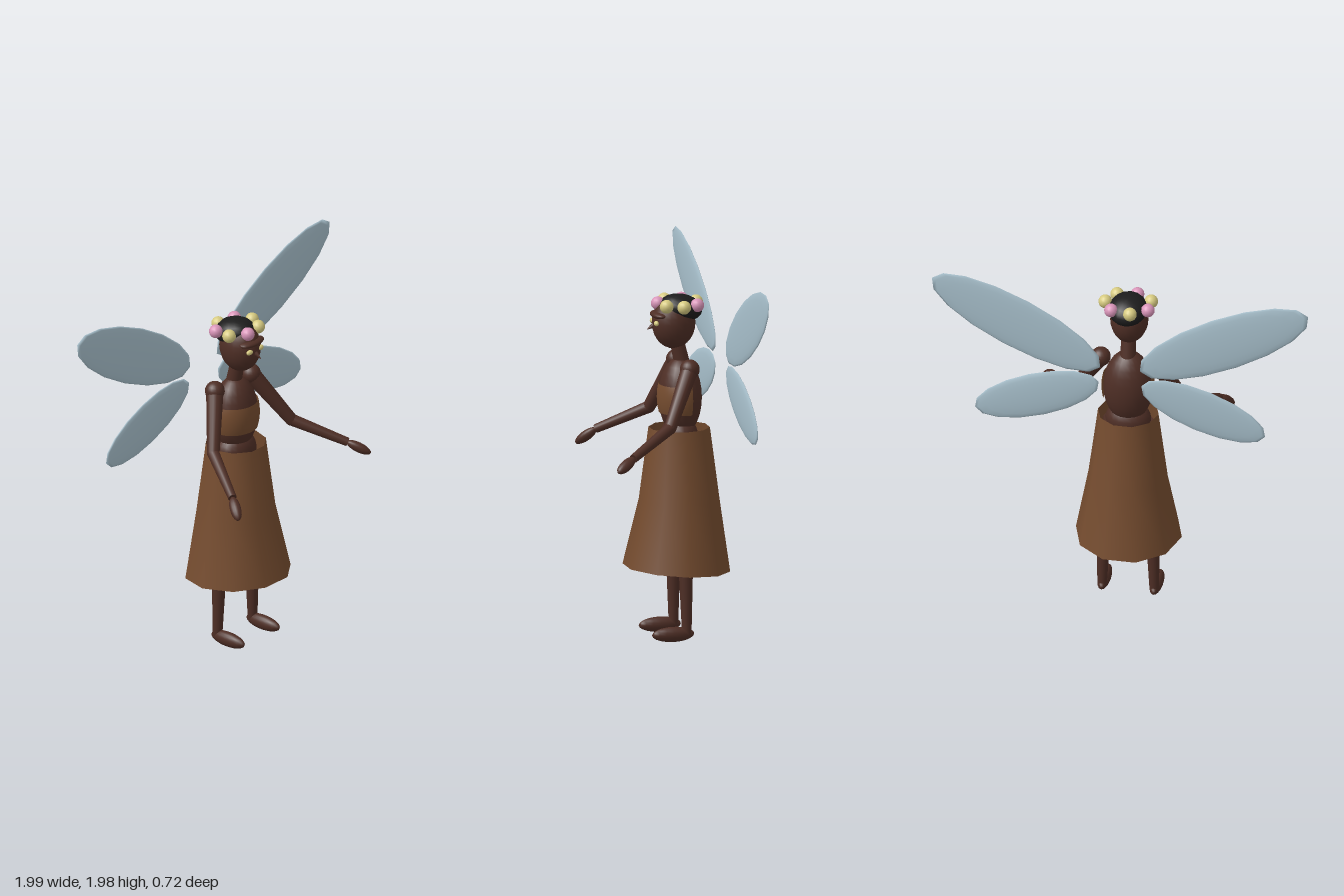
import * as THREE from 'three';

const material = (name, color, side = THREE.FrontSide) => {
  const m = new THREE.MeshStandardMaterial({ color, side });
  m.name = name;
  return m;
};

export function createModel() {
  const group = new THREE.Group();
  const skin = material('dark brown skin', 0x4e2e25);
  const cloth = material('brown cloth', 0x754c2f, THREE.DoubleSide);
  const black = material('black hair', 0x1c1c1c);
  const wing = material('pale blue wing', 0xa8c0cc);
  const yellow = material('soft yellow', 0xd6ca80);
  const pink = material('soft pink', 0xd894b8);
  const up = new THREE.Vector3(0, 1, 0);

  const add = (name, geometry, mat, parent = group) => {
    const mesh = new THREE.Mesh(geometry, mat);
    mesh.name = name;
    parent.add(mesh);
    return mesh;
  };
  const ellipsoid = (name, mat, pos, radii, w = 20, h = 14) => {
    const mesh = add(name, new THREE.SphereGeometry(1, w, h), mat);
    mesh.position.set(...pos);
    mesh.scale.set(...radii);
    return mesh;
  };
  // Tapered limb or stretched shape running from point a to point b
  const align = (mesh, a, b) => {
    const p = new THREE.Vector3(...a), q = new THREE.Vector3(...b);
    mesh.position.copy(p).add(q).multiplyScalar(0.5);
    mesh.quaternion.setFromUnitVectors(up, q.sub(p).normalize());
    return mesh;
  };
  const limb = (name, a, b, ra, rb) => {
    const length = new THREE.Vector3(...a).distanceTo(new THREE.Vector3(...b));
    return align(add(name, new THREE.CylinderGeometry(rb, ra, length, 16), skin), a, b);
  };

  // Skirt: open ten-sided flare, hem pushed forward and tilted
  const skirtGeo = new THREE.LatheGeometry(
    [[0.28, 0.365], [0.21, 0.73], [0.16, 1.11]].map(p => new THREE.Vector2(...p)), 10);
  skirtGeo.rotateY(Math.PI / 2);
  const sp = skirtGeo.attributes.position;
  for (let i = 0; i < sp.count; i++) {
    const hem = Math.max(0, (0.73 - sp.getY(i)) / 0.365);
    sp.setY(i, sp.getY(i) + hem * sp.getZ(i) * 0.07);
    sp.setZ(i, sp.getZ(i) - 0.105 + hem * 0.015);
  }
  add('skirt', skirtGeo, cloth);

  // Torso, hips and bodice wrapped around the front
  ellipsoid('torso', skin, [0, 1.27, -0.11], [0.13, 0.21, 0.112]);
  ellipsoid('hips', skin, [0, 1.07, -0.105], [0.12, 0.1, 0.095]);
  const sweep = 3.75;
  const bodice = add('bodice', new THREE.SphereGeometry(
    1, 24, 8, Math.PI / 2 - sweep / 2, sweep, 1.21, 0.77), cloth);
  bodice.position.set(0, 1.27, -0.11);
  bodice.scale.set(0.14, 0.2, 0.12);

  // Neck and head
  limb('neck', [0, 1.42, -0.125], [0, 1.58, -0.09], 0.043, 0.037);
  ellipsoid('head', skin, [0, 1.665, -0.075], [0.1, 0.137, 0.115]);
  const hair = ellipsoid('hair', black, [0, 1.742, -0.115], [0.102, 0.07, 0.113], 16, 12);
  hair.rotation.x = -0.2;
  ellipsoid('brow', skin, [0, 1.71, 0.005], [0.085, 0.02, 0.042]);
  const a = [0, 1.664, 0.015], b = [0, 1.632, 0.07];
  align(add('nose', new THREE.ConeGeometry(0.022, 0.064, 10), skin), a, b);

  // Flower crown: alternating balls in a ring
  for (let i = 0; i < 7; i++) {
    const t = i * Math.PI * 2 / 7;
    ellipsoid('crownFlower', i % 2 ? pink : yellow,
      [0.123 * Math.cos(t), 1.764, -0.1 - 0.105 * Math.sin(t)], [0.036, 0.036, 0.036], 14, 10);
  }

  for (const s of [1, -1]) {
    const side = s > 0 ? 'left' : 'right';
    ellipsoid(side + 'Eye', yellow, [s * 0.042, 1.671, 0.028], [0.022, 0.014, 0.013], 12, 8);

    // Arms reaching forward, the right one a little lower
    const shoulder = [s * 0.142, 1.44, -0.125];
    const elbow = s > 0 ? [0.295, 1.165, 0.02] : [-0.28, 1.165, -0.015];
    const wrist = s > 0 ? [0.465, 1.05, 0.26] : [-0.415, 1.035, 0.235];
    const tip = s > 0 ? [0.53, 0.995, 0.355] : [-0.47, 0.955, 0.325];
    ellipsoid(side + 'Shoulder', skin, shoulder, [0.052, 0.052, 0.052]);
    limb(side + 'UpperArm', shoulder, elbow, 0.046, 0.033);
    ellipsoid(side + 'Elbow', skin, elbow, [0.033, 0.033, 0.033], 14, 10);
    limb(side + 'Forearm', elbow, wrist, 0.032, 0.023);
    const hand = ellipsoid(side + 'Hand', skin, [0, 0, 0], [0.03, 0.07, 0.026], 14, 10);
    align(hand, wrist, tip);

    // Legs and long rounded feet
    const hip = [s * 0.075, 1.06, -0.105], knee = [s * 0.125, 0.58, -0.105];
    limb(side + 'Thigh', knee, hip, 0.045, 0.058);
    ellipsoid(side + 'Knee', skin, knee, [0.045, 0.045, 0.045], 14, 10);
    limb(side + 'Shin', [s * 0.138, 0.04, -0.11], knee, 0.025, 0.045);
    ellipsoid(side + 'Foot', skin, [s * 0.138, 0.04, -0.037], [0.033, 0.04, 0.113], 16, 10);

    // Flat oval wings: centre, half length, half width, tilt
    const wings = [
      ['UpperWing', 0.55, 1.722, 0.497, 0.15, 0.459],
      ['LowerWing', 0.44, 1.297, 0.347, 0.125, -0.34],
    ];
    for (const [name, x, y, length, width, tilt] of wings) {
      const geo = new THREE.SphereGeometry(1, 16, 10);
      geo.rotateX(Math.PI / 2);
      geo.scale(length, width, 0.016);
      const mesh = add(side + name, geo, wing);
      mesh.position.set(s * x, y, -0.328);
      mesh.rotation.z = s * tilt;
    }
  }
  return group;
}
